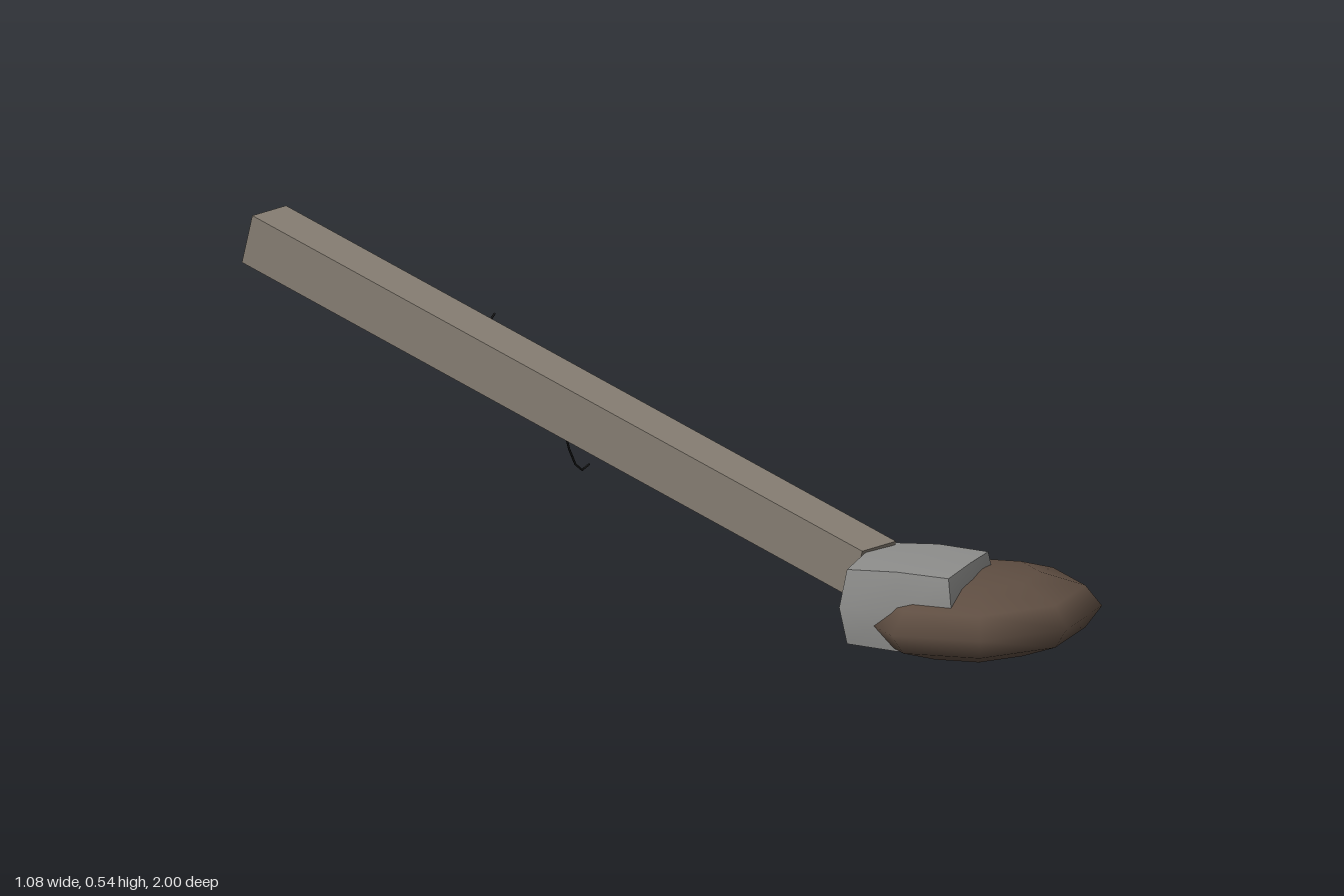
import * as THREE from 'three';
import { toCreasedNormals } from 'three/addons/utils/BufferGeometryUtils.js';

export function createModel() {
  const model = new THREE.Group();

  const add = (name, geometry, color, position = [0, 0, 0]) => {
    const mesh = new THREE.Mesh(geometry, new THREE.MeshStandardMaterial({ color }));
    mesh.name = name;
    mesh.position.set(...position);
    model.add(mesh);
    return mesh;
  };

  // Long square beam, rising towards the back
  const beam = add('beam', new THREE.BoxGeometry(0.09, 0.09, 1.42), 0x857d72, [-0.385, 0.319, -0.057]);
  beam.rotation.x = THREE.MathUtils.degToRad(15);

  // Flattened low-poly boulder at the front
  const boulder = new THREE.SphereGeometry(1, 8, 6).scale(0.23, 0.0745, 0.2);
  add('boulder', boulder, 0x5f4e42, [-0.31, 0.0765, 0.8]);

  // Weathered block at the beam's foot: a box whose edges and corners are worn in
  const block = new THREE.BoxGeometry(0.23, 0.15, 0.215, 2, 2, 2);
  const p = block.attributes.position;
  for (let i = 0; i < p.count; i++) {
    const x = p.getX(i) / 0.115, y = p.getY(i) / 0.075, z = p.getZ(i) / 0.1075;
    const side = 1 - 0.1 * y * y;
    p.setXYZ(i,
      p.getX(i) * side * (1 - 0.04 * z * z),
      p.getY(i) * (1 - 0.06 * (x * x + z * z)),
      p.getZ(i) * side * (1 - 0.04 * x * x));
  }
  const stone = add('footBlock', toCreasedNormals(block, 0.75), 0x8e8e8c, [-0.392, 0.104, 0.733]);
  stone.rotation.y = THREE.MathUtils.degToRad(20);

  // Three sagging wires: start height and z, sag height, end point
  const wires = [
    [0.447, -0.385, 0.166, [0.535, 0.137, -1.0]],
    [0.41, -0.24, 0.127, [0.305, 0.097, -0.7]],
    [0.375, -0.092, 0.078, [0.075, 0.06, -0.4]],
  ];
  wires.forEach(([y, z, sag, end], i) => {
    const a = new THREE.Vector3(-0.385, y, z);
    const b = new THREE.Vector3(...end);
    const mid = a.clone().lerp(b, 0.5).setY(sag);
    const curve = new THREE.QuadraticBezierCurve3(a, mid, b);
    add(`wire${i + 1}`, new THREE.TubeGeometry(curve, 6, 0.002, 5), 0x222222);
  });

  return model;
}
